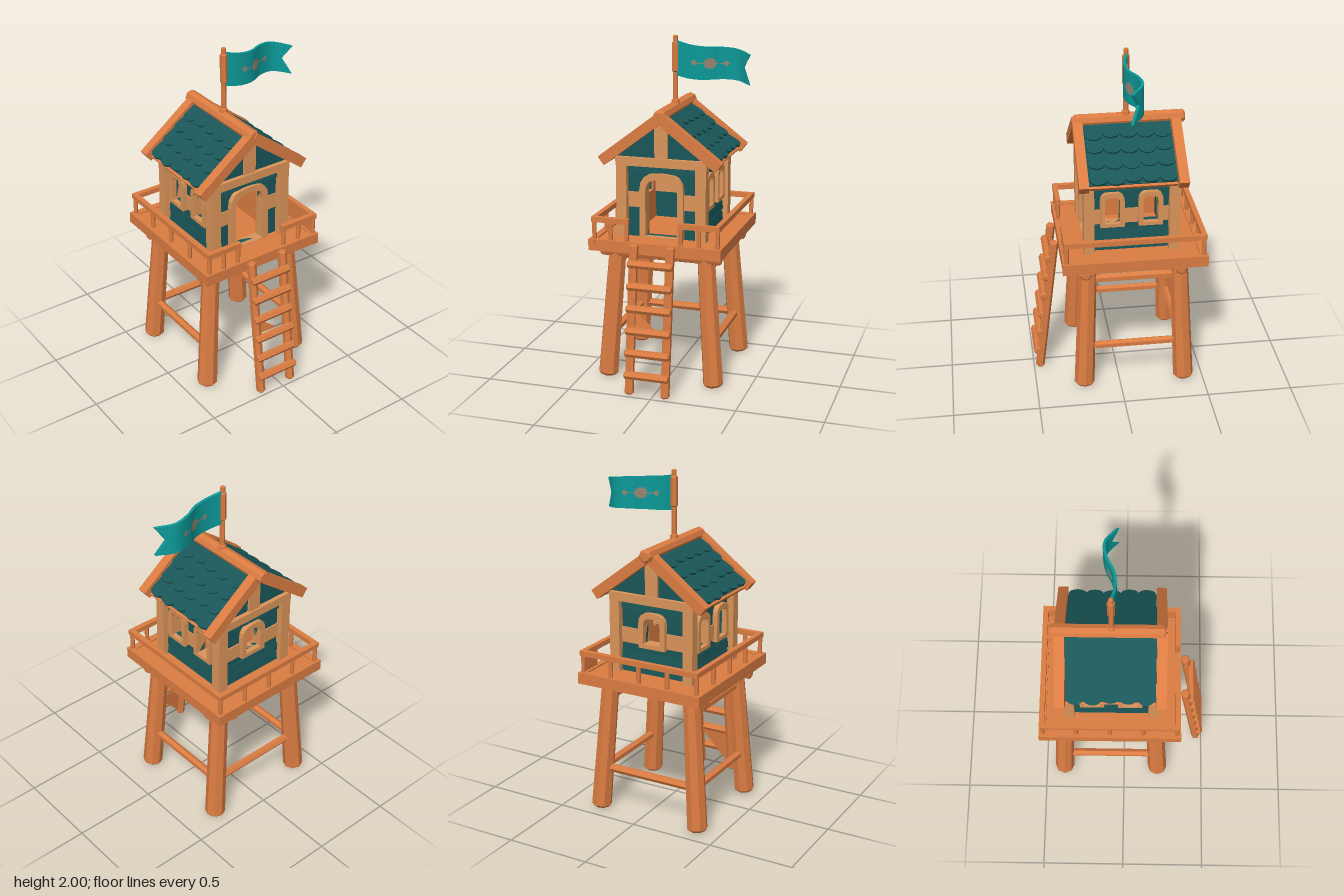
import * as THREE from 'three';

const mat = (name, color, extra = {}) => {
  const m = new THREE.MeshStandardMaterial({ color, flatShading: true, ...extra });
  m.name = name;
  return m;
};
const V = (x, y, z) => new THREE.Vector3(x, y, z);

export function createModel() {
  const wood = mat('orange wood', 0xdb7c42);
  const trim = mat('light wood', 0xda9459);
  const teal = mat('dark teal', 0x1a5658);
  const cloth = mat('flag teal', 0x0c9998);
  const crest = mat('flag emblem', 0x968672, { side: THREE.DoubleSide });

  const CX = -0.033, CZ = -0.075, FLOOR = 0.865;
  const root = new THREE.Group();
  root.name = 'watchtower';

  const group = (name, parent = root) => {
    const g = new THREE.Group();
    g.name = name;
    parent.add(g);
    return g;
  };
  const add = (parent, name, geo, material, x = 0, y = 0, z = 0) => {
    const m = new THREE.Mesh(geo, material);
    m.name = name;
    m.position.set(x, y, z);
    parent.add(m);
    return m;
  };
  const box = (parent, name, material, w, h, d, x, y, z) =>
    add(parent, name, new THREE.BoxGeometry(w, h, d), material, x, y, z);
  // Lays a geometry built along y between two points
  const span = (parent, name, geo, material, a, b) => {
    const m = add(parent, name, geo, material);
    m.position.copy(a).add(b).multiplyScalar(0.5);
    m.quaternion.setFromUnitVectors(V(0, 1, 0), b.clone().sub(a).normalize());
    return m;
  };
  // Round log with chamfered ends
  const log = (parent, name, material, a, b, r0, r1 = r0, sides = 8) => {
    const h = a.distanceTo(b) / 2, c = Math.min(r0, r1) * 0.3;
    const pts = [[0, -h], [r0 - c, -h], [r0, -h + c], [r1, h - c], [r1 - c, h], [0, h]];
    const geo = new THREE.LatheGeometry(pts.map(p => new THREE.Vector2(...p)), sides);
    return span(parent, name, geo, material, a, b);
  };
  const beam = (parent, name, material, a, b, w, d) =>
    span(parent, name, new THREE.BoxGeometry(w, a.distanceTo(b), d), material, a, b);
  // One-sided triangular board
  const web = (parent, name, ...pts) => {
    const geo = new THREE.BufferGeometry().setFromPoints(pts);
    geo.computeVertexNormals();
    add(parent, name, geo, wood);
  };

  // Splayed legs and braces
  const base = group('base');
  const legPoint = (sx, sz, y) => {
    const t = y / 0.8;
    return V(CX + sx * (0.325 - 0.06 * t), y, -0.085 + sz * (0.3 - 0.035 * t));
  };
  for (const sx of [-1, 1]) {
    for (const sz of [-1, 1]) log(base, 'leg', wood, legPoint(sx, sz, 0.004), legPoint(sx, sz, 0.8), 0.06, 0.052);
    log(base, 'lowerSideBrace', wood, legPoint(sx, -1, 0.26), legPoint(sx, 1, 0.26), 0.024, 0.024, 6);
    log(base, 'upperSideBrace', wood, legPoint(sx, -1, 0.7), legPoint(sx, 1, 0.7), 0.026, 0.026, 6);
  }
  log(base, 'lowerBackBrace', wood, legPoint(-1, -1, 0.26), legPoint(1, -1, 0.26), 0.024, 0.024, 6);
  for (const z of [0.2, -0.35]) log(base, 'crossBeam', wood, V(-0.395, 0.775, z), V(0.33, 0.775, z), 0.036);

  // Platform with a raised rim
  box(root, 'platform', wood, 0.765, 0.055, 0.815, CX, 0.8325, -0.0825);
  const rim = group('platformRim');
  for (const s of [-1, 1]) {
    beam(rim, 'sideRim', wood, V(CX + s * 0.372, 0.836, -0.5), V(CX + s * 0.372, 0.836, 0.335), 0.04, 0.066);
    beam(rim, 'endRim', wood, V(-0.42, 0.836, -0.0825 + s * 0.395), V(0.355, 0.836, -0.0825 + s * 0.395), 0.066, 0.04);
  }

  // Railing, open at the ladder
  const railing = group('railing');
  const rail = (a, b, posts) => {
    const dir = b.clone().sub(a).normalize().multiplyScalar(0.014);
    beam(railing, 'handrail', wood, a.clone().sub(dir), b.clone().add(dir), 0.03, 0.03);
    for (let i = 0; i < posts; i++) {
      const p = a.clone().lerp(b, i / (posts - 1));
      log(railing, 'railPost', wood, V(p.x, FLOOR - 0.01, p.z), V(p.x, 0.985, p.z), 0.013, 0.013, 6);
    }
  };
  const [rl, rr, rb, rf] = [-0.395, 0.335, -0.475, 0.31];
  rail(V(rl, 0.985, rb), V(rl, 0.985, rf), 5);
  rail(V(rr, 0.985, rb), V(rr, 0.985, rf), 2);
  rail(V(rl, 0.985, rb), V(rr, 0.985, rb), 5);
  rail(V(rl, 0.985, rf), V(-0.2, 0.985, rf), 3);
  rail(V(0.12, 0.985, rf), V(rr, 0.985, rf), 3);
  // Boards facing inward on the left rail
  for (const [z0, z1] of [[-0.06, rf], [rb, -0.33]]) {
    const [a, b, c, d] = [V(rr, FLOOR, z0), V(rr, FLOOR, z1), V(rr, 0.975, z1), V(rr, 0.975, z0)];
    web(railing, 'railBoard', a, b, c);
    web(railing, 'railBoard', a, c, d);
  }

  // Leaning ladder
  const ladder = group('ladder');
  const ladderZ = y => 0.465 - 0.122 * y;
  for (const x of [-0.14, 0.075])
    log(ladder, 'ladderStile', wood, V(x, 0.004, ladderZ(0)), V(x, 0.87, ladderZ(0.87)), 0.027, 0.027, 6);
  for (let i = 0; i < 6; i++) {
    const y = 0.125 + i * 0.128, z = ladderZ(y) + 0.027;
    log(ladder, 'ladderRung', wood, V(-0.165, y, z), V(0.1, y, z), 0.024, 0.024, 6);
  }
  // Corner boards: two face back, one faces front
  const rungPoint = (x, y) => V(x, y, ladderZ(y));
  web(ladder, 'cornerBoard', rungPoint(-0.12, 0.73), rungPoint(0, 0.645), rungPoint(-0.12, 0.645));
  web(ladder, 'cornerBoard', rungPoint(-0.12, 0.24), rungPoint(0.06, 0.24), rungPoint(-0.12, 0.03));
  web(ladder, 'cornerBoard', rungPoint(-0.12, 0.49), rungPoint(-0.12, 0.395), rungPoint(0, 0.395));

  // Walls with arched openings
  const arch = (P, x, w, y0, y1) => {
    const s = new P(), h = w / 2, r = w * 0.4;
    s.moveTo(x - h, y0);
    s.lineTo(x + h, y0);
    s.lineTo(x + h, y1 - r);
    s.quadraticCurveTo(x + h, y1, x + h - r, y1);
    s.lineTo(x - h + r, y1);
    s.quadraticCurveTo(x - h, y1, x - h, y1 - r);
    s.closePath();
    return s;
  };
  const extrude = (shape, depth) =>
    new THREE.ExtrudeGeometry(shape, { depth, bevelEnabled: false, curveSegments: 4 });
  const polygon = pts => new THREE.Shape(pts.map(p => new THREE.Vector2(...p)));
  const house = group('house');
  house.position.set(CX, 0, CZ);
  // Each opening: centre, outer width, bottom, top, frame width; lining: material, bottom, top
  const wall = (name, half, dist, angle, openings, lining) => {
    const g = group(name, house);
    g.rotation.y = angle;
    const isDoor = openings[0][2] < 0.9;
    const rect = (y0, y1) => polygon([[-half, y0], [half, y0], [half, y1], [-half, y1]]);
    const panel = rect(FLOOR - 0.01, 1.31), inner = rect(lining[1], lining[2]);
    const edges = [-half];
    for (const [x, w, y0, y1, f] of openings) {
      const hole = [x, w - 2 * f, y0 + (isDoor ? 0.006 : f * 0.8), y1 - f];
      panel.holes.push(arch(THREE.Path, ...hole));
      inner.holes.push(arch(THREE.Path, ...hole));
      const frame = arch(THREE.Shape, x, w, y0, y1);
      frame.holes.push(arch(THREE.Path, ...hole));
      add(g, isDoor ? 'doorFrame' : 'windowFrame', extrude(frame, 0.07), trim, 0, 0, dist - 0.04);
      edges.push(x - w / 2 + 0.01, x + w / 2 - 0.01);
    }
    edges.push(half);
    add(g, 'wallPanel', extrude(panel, 0.03), teal, 0, 0, dist - 0.03);
    add(g, 'wallLining', extrude(inner, 0.012), lining[0], 0, 0, dist - 0.042);
    for (let i = 0; i < edges.length; i += 2)
      box(g, 'wallBand', trim, edges[i + 1] - edges[i], 0.09, 0.03, (edges[i] + edges[i + 1]) / 2, 1.08, dist - 0.007);
    for (const y of isDoor ? [1.265] : [0.9, 0.965, 1.265])
      box(g, 'wallPlank', teal, half * 2, 0.055, 0.012, 0, y, dist + 0.004).rotation.x = -0.12;
  };
  const sideLining = [wood, FLOOR - 0.01, 1.3];
  wall('frontWall', 0.22, 0.235, 0, [[0, 0.262, FLOOR, 1.245, 0.036]], sideLining);
  wall('backWall', 0.22, 0.235, Math.PI, [[0, 0.17, 1.025, 1.235, 0.032]], [trim, 1.02, 1.25]);
  const pair = [-0.11, 0.11].map(x => [x, 0.14, 1.02, 1.235, 0.027]);
  wall('leftWall', 0.23, 0.225, Math.PI / 2, pair, sideLining);
  wall('rightWall', 0.23, 0.225, -Math.PI / 2, pair, sideLining);

  // Timber frame and gables
  for (const sx of [-1, 1]) {
    for (const sz of [-1, 1])
      box(house, 'cornerPost', trim, 0.062, 0.43, 0.06, sx * 0.236, 1.075, sz * 0.245);
    box(house, 'sidePlate', trim, 0.05, 0.04, 0.5, sx * 0.236, 1.3, 0);
  }
  for (const s of [-1, 1]) {
    box(house, 'tieBeam', trim, 0.54, 0.05, 0.06, 0, 1.308, s * 0.245);
    box(house, 'gablePost', trim, 0.078, 0.22, 0.05, 0, 1.43, s * 0.24);
    const gable = polygon([[-0.31, 1.315], [0.31, 1.315], [0, 1.555]]);
    add(house, 'gable', extrude(gable, 0.03), teal, 0, 0, s * 0.235 - 0.015);
  }

  // Roof: rafters, ridge and rows of rounded shingles
  const roof = group('roof', house);
  const APEX = 1.572, pitch = 0.65, rows = 4, cols = 5, tw = 0.49 / cols;
  const tile = new THREE.Shape();
  tile.moveTo(0, -tw * 0.5);
  tile.lineTo(0.1, -tw * 0.5);
  tile.quadraticCurveTo(0.128, -tw * 0.4, 0.13, 0);
  tile.quadraticCurveTo(0.128, tw * 0.4, 0.1, tw * 0.5);
  tile.lineTo(0, tw * 0.5);
  tile.closePath();
  const tileGeo = extrude(tile, 0.016).rotateX(-Math.PI / 2);
  for (const turn of [0, Math.PI]) {
    const side = group('roofSide', roof);
    side.rotation.y = turn;
    const slope = group('roofSlope', side);
    slope.position.y = APEX;
    slope.rotation.z = -pitch;
    box(slope, 'roofDeck', teal, 0.4, 0.018, 0.5, 0.205, -0.012, 0);
    box(slope, 'eaveBeam', wood, 0.03, 0.022, 0.5, 0.405, -0.02, 0);
    for (const s of [-1, 1]) box(slope, 'rafter', wood, 0.435, 0.06, 0.056, 0.2175, 0, s * 0.28);
    for (let r = 0; r < rows; r++)
      for (let c = 0; c < cols; c++) {
        const wobble = ((r * 3 + c * 5) % 4) * 0.004;
        const t = add(slope, 'shingle', tileGeo, teal, 0.008 + r * 0.094 - wobble, -0.006, (c - (cols - 1) / 2) * tw);
        t.rotation.z = 0.12 + wobble;
      }
  }
  log(roof, 'ridgeBeam', wood, V(0, 1.578, -0.335), V(0, 1.578, 0.3), 0.039);

  // Flagpole
  const flag = group('flag');
  const PX = -0.028, PZ = -0.072;
  log(flag, 'flagpole', wood, V(PX, 1.58, PZ), V(PX, 2, PZ), 0.016, 0.014, 6);
  log(flag, 'poleCollar', wood, V(PX, 1.58, PZ), V(PX, 1.635, PZ), 0.028, 0.022, 6);
  log(flag, 'flagSleeve', wood, V(PX, 1.79, PZ), V(PX, 1.965, PZ), 0.021, 0.021, 6);

  // Waving cloth: x along the flag, y across it, z through it
  const wave = new THREE.CatmullRomCurve3([V(-0.03, 0, -0.075), V(0.06, 0, -0.052), V(0.15, 0, -0.058),
    V(0.24, 0, -0.1), V(0.33, 0, -0.11), V(0.42, 0, -0.042)]);
  const drape = geo => {
    const p = geo.attributes.position;
    for (let i = 0; i < p.count; i++) {
      const y = p.getY(i);
      let t = p.getX(i) / 0.45;
      t -= 0.1 * Math.pow(t, 6) * (1 - Math.abs(y) / 0.1);
      const c = wave.getPoint(t);
      p.setXYZ(i, c.x, 1.873 - 0.05 * t - 0.008 * Math.sin(t * 6.28) + y * (1 - 0.14 * t), c.z + p.getZ(i));
    }
    geo.computeVertexNormals();
    return geo;
  };
  add(flag, 'flagCloth', drape(new THREE.BoxGeometry(0.45, 0.2, 0.016, 18, 4, 1).translate(0.225, 0, 0)), cloth);
  // Rosette with a diamond and bar on either side
  for (const z of [-0.012, 0.012]) {
    const rosette = new THREE.CircleGeometry(0.038, 20);
    const p = rosette.attributes.position;
    for (let i = 2; i < p.count; i += 2) p.setXY(i, p.getX(i) * 0.8, p.getY(i) * 0.8);
    add(flag, 'rosette', drape(rosette.translate(0.212, 0, z)), crest);
    for (const s of [-1, 1]) {
      add(flag, 'diamond', drape(new THREE.CircleGeometry(0.02, 4).translate(0.212 + s * 0.09, 0, z)), crest);
      add(flag, 'bar', drape(new THREE.PlaneGeometry(0.05, 0.006, 3, 1).translate(0.212 + s * 0.055, 0, z)), crest);
    }
  }
  return root;
}
